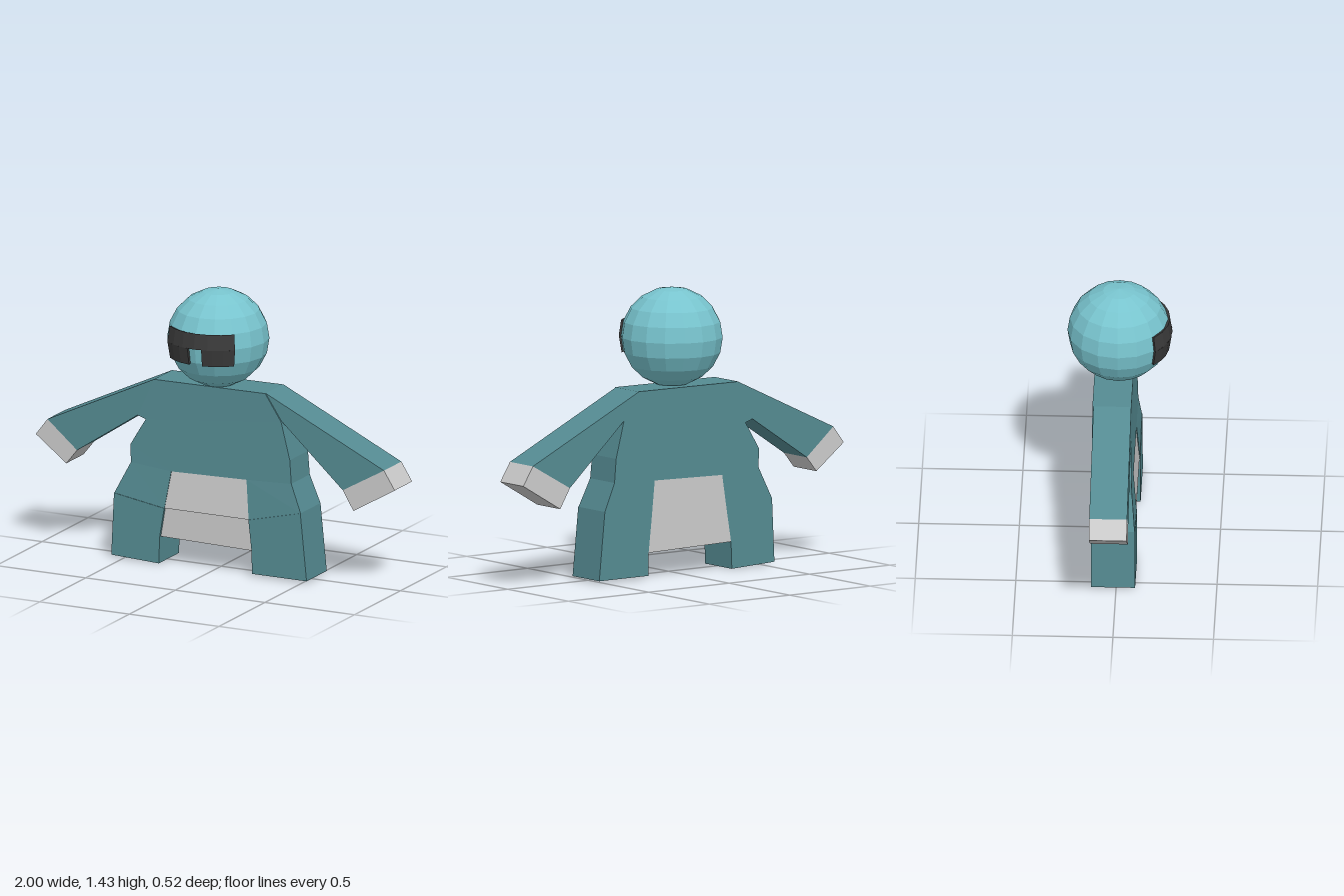
import * as THREE from 'three';

const BACK = -0.125;
const teal = new THREE.MeshStandardMaterial({ color: 0x558b92, flatShading: true });
const aqua = new THREE.MeshStandardMaterial({ color: 0x78c4ce, flatShading: true });
const dark = new THREE.MeshStandardMaterial({ color: 0x3a3a3a, flatShading: true });
const grey = new THREE.MeshStandardMaterial({ color: 0xcccccc, flatShading: true });

// Slab with a flat back; each outline corner is [x, y, frontZ]
function slab(name, material, corners, back = BACK) {
  const shape = new THREE.Shape(corners.map(([x, y]) => new THREE.Vector2(x, y)));
  const geometry = new THREE.ExtrudeGeometry(shape, { depth: 1, bevelEnabled: false });
  const p = geometry.attributes.position;
  for (let i = 0; i < p.count; i++) {
    const corner = corners.find(([x, y]) => Math.hypot(x - p.getX(i), y - p.getY(i)) < 1e-4);
    p.setZ(i, p.getZ(i) > 0.5 ? corner[2] : back);
  }
  geometry.computeVertexNormals();
  const mesh = new THREE.Mesh(geometry, material);
  mesh.name = name;
  return mesh;
}

const flat = (z, points) => points.map(([x, y]) => [x, y, z]);

// Curved plate on the head: a box bent round in angle and elevation
function visorPlate(name, a0, a1, e0, e1, segments) {
  const geometry = new THREE.BoxGeometry(1, 1, 1, segments, 1, 1);
  const p = geometry.attributes.position;
  for (let i = 0; i < p.count; i++) {
    const a = THREE.MathUtils.lerp(a0, a1, p.getX(i) + 0.5);
    const e = THREE.MathUtils.lerp(e0, e1, p.getY(i) + 0.5);
    const r = p.getZ(i) > 0 ? 0.266 : 0.238;
    p.setXYZ(i, r * Math.sin(a) * Math.cos(e), r * Math.sin(e), r * Math.cos(a) * Math.cos(e));
  }
  geometry.computeVertexNormals();
  const mesh = new THREE.Mesh(geometry, dark);
  mesh.name = name;
  return mesh;
}

export function createModel() {
  const model = new THREE.Group();
  model.name = 'figure';

  // Head and visor with a notch over the nose
  const head = new THREE.Group();
  head.name = 'head';
  head.position.set(-0.018, 1.182, -0.004);
  const ball = new THREE.Mesh(new THREE.SphereGeometry(0.254, 16, 10), aqua);
  ball.scale.set(1, 0.98, 1.01);
  ball.name = 'headBall';
  head.add(
    ball,
    visorPlate('visorBand', -0.79, 0.79, 0, 0.3, 6),
    visorPlate('visorRight', -0.79, -0.145, -0.33, 0, 3),
    visorPlate('visorLeft', 0.145, 0.79, -0.33, 0, 3),
  );
  model.add(head);

  // Torso, front leaning slightly forward towards the waist
  model.add(slab('torso', teal, [
    [-0.34, 0.94, 0.068], [-0.43, 0.745, 0.07], [-0.385, 0.73, 0.07], [-0.41, 0.69, 0.07],
    [-0.47, 0.59, 0.073], [-0.465, 0.5, 0.076], [-0.24, 0.48, 0.076], [0.18, 0.49, 0.076],
    [0.43, 0.5, 0.076], [0.42, 0.62, 0.073], [0.37, 0.81, 0.07], [0.28, 0.945, 0.068],
  ]));

  // Arms and hands
  model.add(
    slab('rightArm', teal, flat(0.068, [[-0.34, 0.94], [-0.935, 0.66], [-0.77, 0.52], [-0.43, 0.745]]), -0.12),
    slab('rightHand', grey, flat(0.068, [[-0.935, 0.66], [-1, 0.575], [-0.83, 0.445], [-0.77, 0.52]]), -0.12),
    slab('leftArm', teal, flat(0.062, [[0.28, 0.945], [0.37, 0.81], [0.71, 0.5], [0.94, 0.63]]), -0.128),
    slab('leftHand', grey, flat(0.062, [[0.94, 0.63], [0.71, 0.5], [0.77, 0.4], [1, 0.535]]), -0.128),
  );

  // Thighs sloping forward, then upright lower legs
  model.add(
    slab('rightThigh', teal, [
      [-0.465, 0.5, 0.076], [-0.55, 0.335, 0.092], [-0.27, 0.29, 0.092], [-0.24, 0.48, 0.076],
    ]),
    slab('leftThigh', teal, [
      [0.18, 0.49, 0.076], [0.2, 0.29, 0.092], [0.49, 0.36, 0.092], [0.43, 0.5, 0.076],
    ]),
    slab('rightLeg', teal, flat(0.095, [
      [-0.55, 0.335], [-0.565, 0.015], [-0.3, 0.003], [-0.295, 0.14], [-0.27, 0.29],
    ])),
    slab('leftLeg', teal, flat(0.095, [
      [0.2, 0.29], [0.218, 0.13], [0.22, 0.015], [0.525, 0.015], [0.49, 0.36],
    ])),
  );

  // Grey panel hanging between the legs
  model.add(
    slab('upperPanel', grey, [
      [-0.24, 0.48, 0.072], [-0.27, 0.29, 0.09], [0.2, 0.29, 0.09], [0.18, 0.49, 0.072],
    ]),
    slab('lowerPanel', grey, flat(0.082, [[-0.27, 0.29], [-0.295, 0.14], [0.218, 0.13], [0.2, 0.29]])),
  );

  return model;
}
